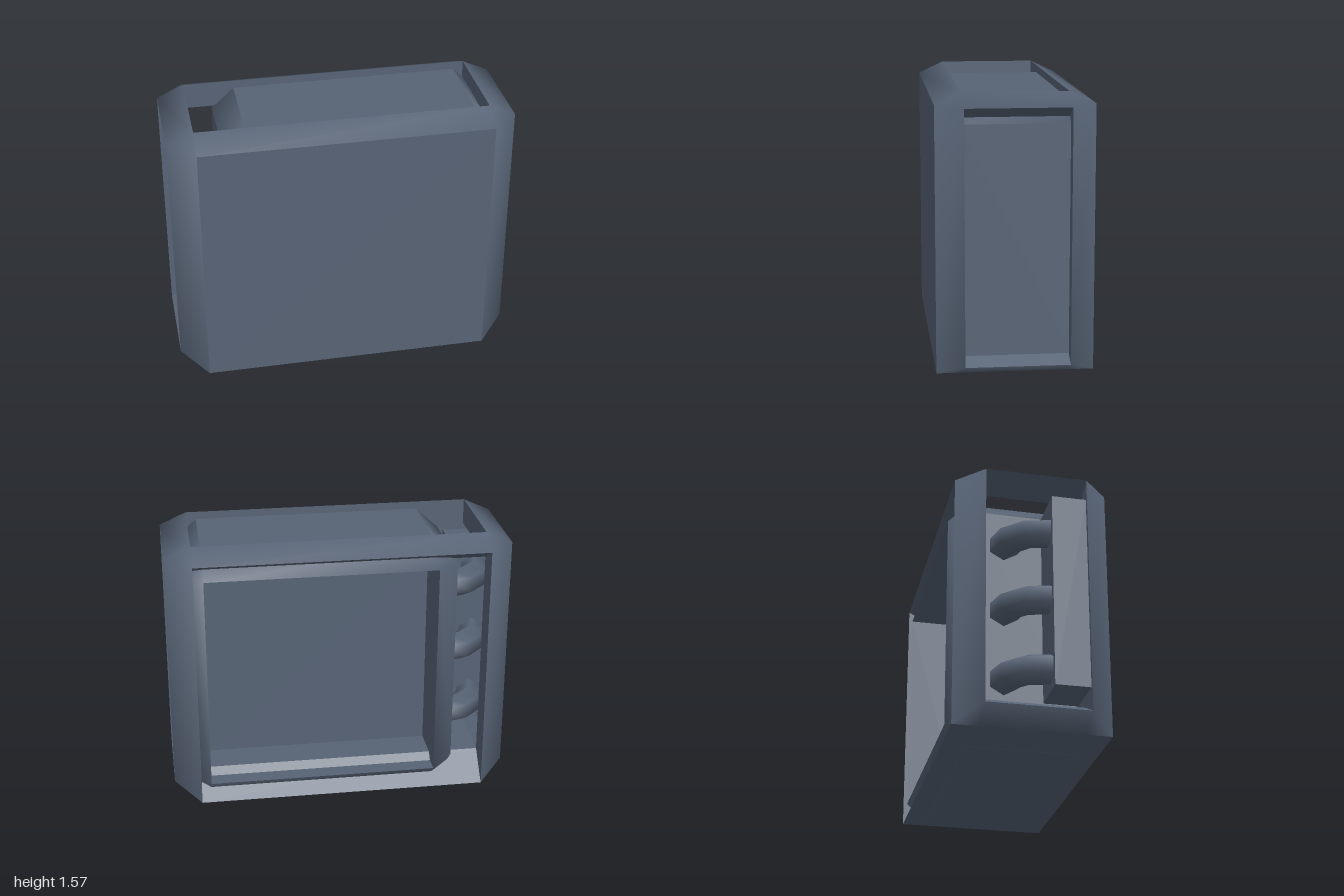
import * as THREE from 'three';
import { mergeGeometries, mergeVertices } from 'three/addons/utils/BufferGeometryUtils.js';

const material = new THREE.MeshStandardMaterial({ color: 0x576375 });

function addMesh(parent, name, geometry) {
  const mesh = new THREE.Mesh(geometry, material);
  mesh.name = name;
  parent.add(mesh);
  return mesh;
}

// Collects convex faces, each wound to face along dir: flat ones with sharp
// edges, and soft ones whose normals blend into each other (the chamfers).
function faceBuilder() {
  const flatPositions = [], softPositions = [];
  const add = (positions) => (dir, ...pts) => {
    const [a, b, c] = pts.map((p) => new THREE.Vector3(...p));
    const normal = b.sub(a).cross(c.sub(a));
    const loop = normal.dot(new THREE.Vector3(...dir)) < 0 ? [...pts].reverse() : pts;
    for (let i = 1; i < loop.length - 1; i++) positions.push(...loop[0], ...loop[i], ...loop[i + 1]);
  };
  const toGeometry = (positions) => new THREE.BufferGeometry()
    .setAttribute('position', new THREE.Float32BufferAttribute(positions, 3));
  const build = () => {
    const flat = toGeometry(flatPositions);
    const soft = mergeVertices(toGeometry(softPositions));
    flat.computeVertexNormals();
    soft.computeVertexNormals();
    return mergeGeometries([flat, soft.toNonIndexed()]);
  };
  return { face: add(flatPositions), softFace: add(softPositions), build };
}

// Outer casing: chamfered corner posts and beams, open at the top, back and sides.
function casingGeometry() {
  const { face, softFace, build } = faceBuilder();
  const X = 1, XF = 0.845, Z = 0.44, ZF = 0.29;
  const sideLo = (sx, sz) => [sx * X, 0.08, sz * ZF];
  const sideHi = (sx, sz) => [sx * X, 1.5, sz * ZF];
  const faceLo = (sx, sz) => [sx * XF, 0.004, sz * Z];
  const faceHi = (sx, sz) => [sx * XF, 1.5, sz * Z];
  const top = (sx, sz) => [sx * XF, 1.57, sz * ZF];
  const base = (sx, sz) => [sx * XF, 0.004, sz * ZF];
  const innerLo = (sx, sz) => [sx * XF, 0.16, sz * ZF];
  const innerHi = (sx, sz) => [sx * XF, 1.42, sz * ZF];

  // corner posts
  for (const sx of [-1, 1]) for (const sz of [-1, 1]) {
    softFace([sx, 0, sz], sideLo(sx, sz), faceLo(sx, sz), faceHi(sx, sz), sideHi(sx, sz));
    softFace([sx, 1, sz], sideHi(sx, sz), faceHi(sx, sz), top(sx, sz));
    softFace([sx, -1, sz], sideLo(sx, sz), faceLo(sx, sz), base(sx, sz));
    face([0, 0, -sz], sideLo(sx, sz), sideHi(sx, sz), innerHi(sx, sz), innerLo(sx, sz));
    if (sz < 0) face([-sx, 0, 0], faceLo(sx, sz), faceHi(sx, sz), innerHi(sx, sz), innerLo(sx, sz));
  }
  // side beams and sills
  for (const s of [-1, 1]) {
    const strip = (add, dir, p, q) => add(dir, p(s, -1), p(s, 1), q(s, 1), q(s, -1));
    strip(softFace, [s, 1, 0], sideHi, top);
    strip(softFace, [s, -1, 0], sideLo, base);
    strip(face, [s, -1, 0], sideHi, innerHi);
    strip(face, [-s, 0, 0], top, innerHi);
    strip(face, [0, 1, 0], sideLo, innerLo);
  }
  // front and back beams
  for (const s of [-1, 1]) {
    const strip = (add, dir, p, q) => add(dir, p(-1, s), p(1, s), q(1, s), q(-1, s));
    strip(softFace, [0, 1, s], faceHi, top);
    strip(face, [0, 0, -s], top, innerHi);
    if (s < 0) {
      strip(face, [0, -1, -1], faceHi, innerHi);
      strip(face, [0, 1, 0], faceLo, innerLo);
    } else {
      strip(face, [0, 0, 1], faceLo, faceHi);
      strip(face, [0, 0, -1], innerLo, innerHi);
    }
  }
  // underside and floor
  const sheet = (dir, p) => face(dir, p(-1, -1), p(1, -1), p(1, 1), p(-1, 1));
  sheet([0, -1, 0], faceLo);
  sheet([0, 1, 0], innerLo);
  return build();
}

// Chamfered box with a rectangular cavity sunk into its back face.
function coreGeometry(half, bevel, depth) {
  const { face, softFace, build } = faceBuilder();
  const flat = half.map((h, i) => h - bevel[i]);
  const point = (axis, signs) => signs.map((s, i) => s * (i === axis ? half[i] : flat[i]));
  const signsOf = (entries) => {
    const out = [0, 0, 0];
    for (const [axis, s] of entries) out[axis] = s;
    return out;
  };
  for (let a = 0; a < 3; a++) {
    const b = (a + 1) % 3, c = (a + 2) % 3;
    for (const sa of [-1, 1]) {
      // flat faces, leaving the back open
      if (!(a === 2 && sa < 0)) {
        face(signsOf([[a, sa]]), ...[[-1, -1], [1, -1], [1, 1], [-1, 1]].map(
          ([sb, sc]) => point(a, signsOf([[a, sa], [b, sb], [c, sc]]))));
      }
      // edge chamfers
      for (const sb of [-1, 1]) {
        const lo = signsOf([[a, sa], [b, sb], [c, -1]]);
        const hi = signsOf([[a, sa], [b, sb], [c, 1]]);
        softFace(signsOf([[a, sa], [b, sb]]), point(a, lo), point(a, hi), point(b, hi), point(b, lo));
      }
    }
  }
  // corner triangles
  for (const x of [-1, 1]) for (const y of [-1, 1]) for (const z of [-1, 1]) {
    const s = [x, y, z];
    softFace(s, point(0, s), point(1, s), point(2, s));
  }
  // cavity walls and end
  const [w, h] = flat, z0 = -half[2], z1 = z0 + depth;
  for (const s of [-1, 1]) {
    face([-s, 0, 0], [s * w, -h, z0], [s * w, h, z0], [s * w, h, z1], [s * w, -h, z1]);
    face([0, -s, 0], [-w, s * h, z0], [w, s * h, z0], [w, s * h, z1], [-w, s * h, z1]);
  }
  face([0, 0, -1], [-w, -h, z1], [w, -h, z1], [w, h, z1], [-w, h, z1]);
  return build();
}

// Quarter bend in the horizontal plane from the core to the side block.
class PipeBend extends THREE.Curve {
  getPoint(t, target = new THREE.Vector3()) {
    const a = t * Math.PI / 2;
    return target.set(-0.655 - 0.22 * Math.sin(a), 0, 0.09 - 0.22 * Math.cos(a));
  }
}

export function createModel() {
  const group = new THREE.Group();
  group.name = 'casedUnit';

  addMesh(group, 'casing', casingGeometry());

  const core = addMesh(group, 'innerCore',
    coreGeometry([0.8, 0.7625, 0.43], [0.132, 0.12, 0.12], 0.335));
  core.position.set(0.118, 0.7625, 0.004);

  // block that the pipes run into
  const block = addMesh(group, 'sideBlock', new THREE.BoxGeometry(0.265, 1.16, 0.198));
  block.position.set(-0.852, 0.8, 0.189);

  // three hexagonal bent pipes
  const pipe = new THREE.TubeGeometry(new PipeBend(), 3, 0.09, 6, false);
  for (const y of [0.355, 0.777, 1.197]) addMesh(group, 'pipe', pipe).position.y = y;

  return group;
}
